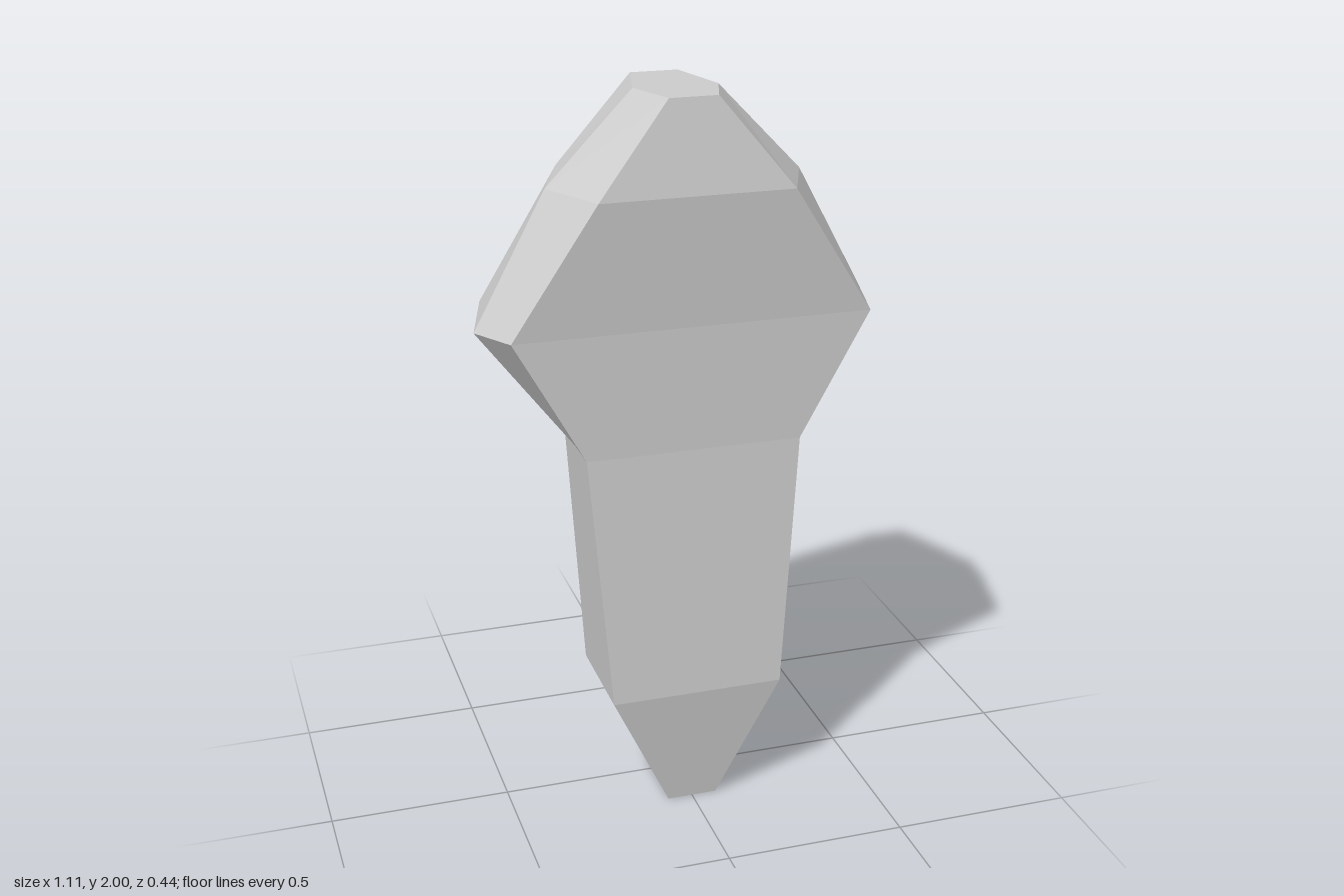
import * as THREE from 'three';

// Each level: y, half width, front z, back z, [+x ridge x, z], [-x ridge x, z]
const LEVELS = [
  [0.00, 0.07, 0.17, -0.03, [0.07, 0.07], [-0.07, 0.07]],
  [0.36, 0.24, 0.22, -0.08, [0.24, 0.07], [-0.24, 0.07]],
  [1.07, 0.295, 0.185, -0.045, [0.295, 0.07], [-0.295, 0.07]],
  [1.41, 0.485, 0.185, -0.195, [0.553, -0.08], [-0.555, 0.065]],
  [1.76, 0.26, 0.21, -0.22, [0.345, 0.0], [-0.35, 0.022]],
  [2.00, 0.065, 0.165, -0.18, [0.11, 0.025], [-0.115, 0.015]],
];

// Six corners of a level, counter-clockwise seen from above
function ring([y, w, front, back, right, left]) {
  return [[-w, front], [w, front], right, [w, back], [-w, back], left]
    .map(([x, z]) => [x, y, z]);
}

// Skin a run of levels, optionally closing its bottom or top
function loft(levels, capBottom, capTop) {
  const rings = levels.map(ring);
  const pos = [];
  const tri = (a, b, c) => pos.push(...a, ...b, ...c);
  for (let k = 0; k < rings.length - 1; k++) {
    const lo = rings[k], hi = rings[k + 1];
    for (let i = 0; i < 6; i++) {
      const j = (i + 1) % 6;
      tri(lo[i], lo[j], hi[j]);
      tri(lo[i], hi[j], hi[i]);
    }
  }
  const first = rings[0], last = rings[rings.length - 1];
  for (let i = 1; i < 5; i++) {
    if (capBottom) tri(first[0], first[i + 1], first[i]);
    if (capTop) tri(last[0], last[i], last[i + 1]);
  }
  const geometry = new THREE.BufferGeometry();
  geometry.setAttribute('position', new THREE.Float32BufferAttribute(pos, 3));
  geometry.computeVertexNormals();
  return geometry;
}

export function createModel() {
  const grey = new THREE.MeshStandardMaterial({ color: 0xcccccc });
  grey.name = 'stone grey';
  grey.flatShading = true;

  const group = new THREE.Group();
  group.name = 'facetedStone';

  // Tapering four-sided stem
  const stem = new THREE.Mesh(loft(LEVELS.slice(0, 3), true, false), grey);
  stem.name = 'stem';
  // Wide faceted head with skewed side ridges
  const head = new THREE.Mesh(loft(LEVELS.slice(2), false, true), grey);
  head.name = 'head';

  group.add(stem, head);
  return group;
}
